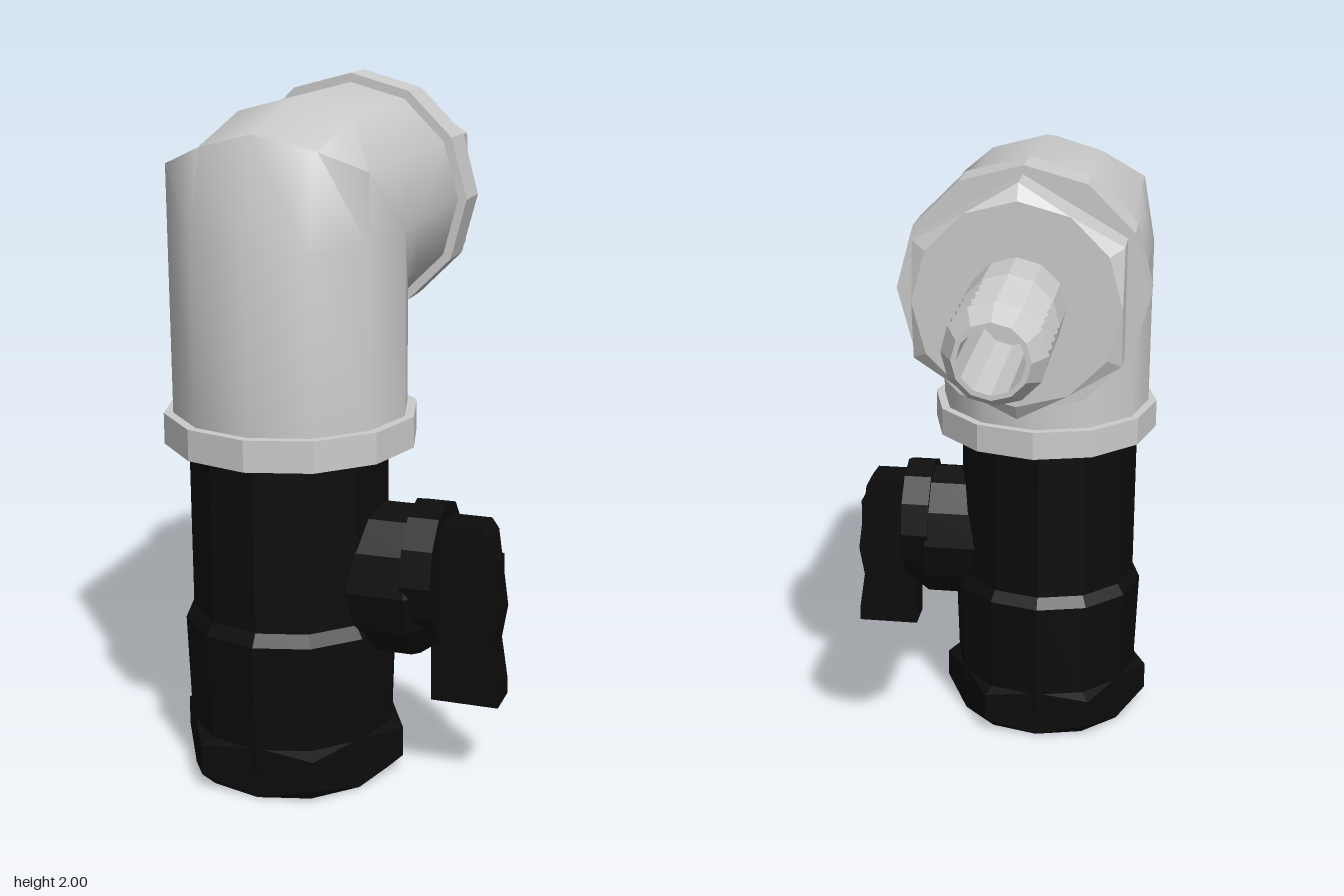
import * as THREE from 'three';
import { toCreasedNormals } from 'three/addons/utils/BufferGeometryUtils.js';

const SIDES = 12;
const STEP = (Math.PI * 2) / SIDES;

const grey = new THREE.MeshStandardMaterial({ color: 0xcccccc, flatShading: true });
const greySmooth = new THREE.MeshStandardMaterial({ color: 0xcccccc });
const black = new THREE.MeshStandardMaterial({ color: 0x0c0c0c, flatShading: true });

// Skin between rings of SIDES points each
function loft(rings) {
  const positions = rings.flat(2);
  const index = [];
  for (let i = 0; i < rings.length - 1; i++) {
    for (let k = 0; k < SIDES; k++) {
      const a = i * SIDES + k, b = i * SIDES + ((k + 1) % SIDES);
      const c = b + SIDES, d = a + SIDES;
      index.push(a, b, d, c, d, b);
    }
  }
  const geometry = new THREE.BufferGeometry();
  geometry.setAttribute('position', new THREE.Float32BufferAttribute(positions, 3));
  geometry.setIndex(index);
  geometry.computeVertexNormals();
  return geometry;
}

function ring(point) {
  return Array.from({ length: SIDES }, (_, k) => point(Math.sin(k * STEP), Math.cos(k * STEP), k));
}

// Hexagonal nut along y with a bore; only its corners are chamfered
function nut(R, bore, y0, y1, c0, c1) {
  const flat = R * Math.cos(Math.PI / 6);
  const round = (r, y) => ring((s, c) => [s * r, y, c * r]);
  const hex = (cornerY, flatY) => ring((s, c, k) => {
    const r = k % 2 ? flat : R;
    return [s * r, k % 2 ? flatY : cornerY, c * r];
  });
  return loft([round(bore, y0), round(flat, y0), hex(y0 + c0, y0),
    hex(y1 - c1, y1), round(flat, y1), round(bore, y1)]);
}

function lathe(points) {
  return new THREE.LatheGeometry(points.map(([r, y]) => new THREE.Vector2(r, y)), SIDES);
}

// Collar: closed twelve-sided ring
function collar(r, y0, y1) {
  return lathe([[0, y0], [r, y0], [r, y1], [0, y1]]);
}

export function createModel() {
  const model = new THREE.Group();
  const add = (parent, name, geometry, material) => {
    const mesh = new THREE.Mesh(geometry, material);
    mesh.name = name;
    parent.add(mesh);
    return mesh;
  };

  // Elbow: two pipes meeting on a mitre whose outer corner is cut back
  const cx = -0.132, cy = 1.634, cz = 0.467, r = 0.339;
  const elbow = loft([
    ring((s, c) => [cx + s * r, 1.06, cz + c * r]),
    ring((s, c) => [cx + s * r, cy + Math.min(-0.03, c * r - 0.1), cz + c * r]),
    ring((s, c) => {
      const m = c * r > 0.2 ? c * r - 0.069 : c * r;
      return [cx + s * r, cy + m, cz + m];
    }),
    ring((s, c) => [cx + s * r, cy + c * r, cz + Math.min(-0.057, c * r - 0.1)]),
    ring((s, c) => [cx + s * r, cy + c * r, -0.1]),
  ]);
  add(model, 'elbow', toCreasedNormals(elbow, 1.0), greySmooth);
  add(model, 'lowerCollar', collar(0.366, 1.01, 1.1).translate(cx, 0, cz), grey);

  // Outlet: collar, hex nut and hose barb, built along y and turned to face the back
  const outlet = new THREE.Group();
  outlet.name = 'outlet';
  outlet.position.set(cx, cy, 0);
  outlet.rotation.x = -Math.PI / 2;
  model.add(outlet);
  add(outlet, 'rearCollar', collar(0.366, 0.056, 0.183), grey);
  add(outlet, 'neck', collar(0.28, 0.17, 0.21), grey);
  add(outlet, 'hexNut', nut(0.343, 0.08, 0.195, 0.327, 0, 0.028), grey);

  const barb = [[0.141, 0.32], [0.141, 0.5], [0.12, 0.553]];
  for (let i = 0; i < 4; i++) {
    const y = 0.553 + i * 0.068;
    barb.push([0.141, y], [i === 3 ? 0.104 : 0.115, y + 0.068]);
  }
  barb.push([0.09, 0.825], [0.09, 0.4], [0, 0.4]);
  add(outlet, 'hoseBarb', lathe(barb), grey);

  // Valve body, open at the bottom
  const valve = new THREE.Group();
  valve.name = 'valve';
  valve.position.set(-0.147, 0, 0.447);
  model.add(valve);
  add(valve, 'valveBody', lathe([
    [0, 0.3], [0.26, 0.3], [0.26, 0.005], [0.29, 0.005], [0.303, 0.1],
    [0.315, 0.47], [0.291, 0.505], [0.291, 1.02], [0, 1.02],
  ]), black);
  add(valve, 'bottomNut', nut(0.345, 0.26, 0, 0.155, 0.045, 0.02).rotateY(Math.PI / 2), black);

  // Oval boss and stop plate on the side of the valve
  const oval = (x0, x1, y, halfY, halfZ, taper) => new THREE.CylinderGeometry(taper, 1, x1 - x0, SIDES)
    .rotateZ(-Math.PI / 2).scale(1, halfY, halfZ).translate((x0 + x1) / 2, y, 0.447);
  add(model, 'boss', oval(0.05, 0.25, 0.609, 0.229, 0.172, 1), black);
  add(model, 'bossChamfer', oval(0.25, 0.328, 0.609, 0.229, 0.172, 0.75), black);
  add(model, 'stopPlate', oval(0.238, 0.328, 0.647, 0.207, 0.172, 1), black);

  // Lever handle: side profile extruded across its width
  const profile = [[0.3, 0.265], [0.5, 0.265], [0.498, 0.32], [0.48, 0.44], [0.497, 0.54],
    [0.466, 0.77], [0.445, 0.8], [0.3, 0.8]].map(([x, y]) => new THREE.Vector2(x, y));
  const lever = new THREE.ExtrudeGeometry(new THREE.Shape(profile), { depth: 0.114, bevelEnabled: false });
  add(model, 'handle', lever.translate(0, 0, 0.39), black);
  add(model, 'stemEnd', new THREE.BoxGeometry(0.08, 0.09, 0.07).translate(0.449, 0.66, 0.447), black);

  return model;
}
